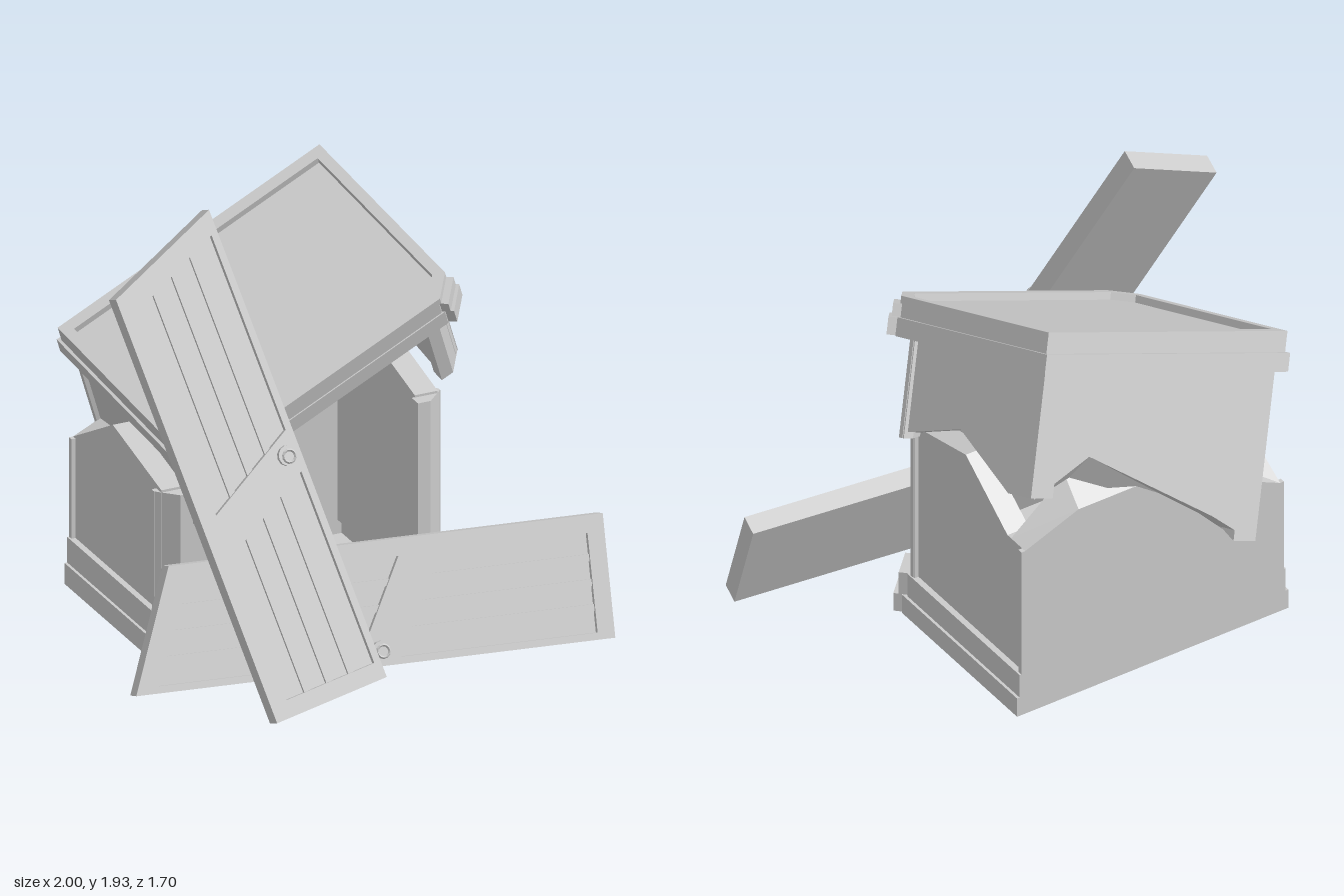
import * as THREE from 'three';

const grey = new THREE.MeshStandardMaterial({ color: 0xcccccc, flatShading: true, side: THREE.DoubleSide });

function mesh(name, geometry, parent) {
  const m = new THREE.Mesh(geometry, grey);
  m.name = name;
  parent.add(m);
  return m;
}

const toShape = (pts) => new THREE.Shape(pts.map(([x, y]) => new THREE.Vector2(x, y)));

// Extrudes an outline (with optional holes) along +z
function plate(pts, depth, z = 0, holes = []) {
  const shape = toShape(pts);
  holes.forEach((h) => shape.holes.push(toShape(h)));
  return new THREE.ExtrudeGeometry(shape, { depth, bevelEnabled: false }).translate(0, 0, z);
}

// Extrudes a plan outline of [x, z] points from y0 up to y1
function slab(pts, y0, y1, holes = []) {
  const flip = (p) => p.map(([x, z]) => [x, -z]);
  return plate(flip(pts), y1 - y0, 0, holes.map(flip)).rotateX(-Math.PI / 2).translate(0, y0, 0);
}

// Plan of a moulding: a rectangle with cut front corners
const plan = (w, back, front, cut) => [
  [-w, back], [w, back], [w, front - cut], [w - cut, front], [cut - w, front], [-w, front - cut],
];

const W = 0.62, BACK = -0.425, FRONT = 0.43, THICK = 0.1, RECESS = 0.018;
const INNER = plan(W - THICK, BACK + THICK, FRONT - 0.04, 0.03);

// Stacked moulding with canted blocks on its front corners; open tiers leave the inside hollow
function moulding(name, parent, tiers) {
  for (const { y0, y1, side, back, front, open } of tiers) {
    const outline = plan(W + side, BACK - back, FRONT + front, 0.1);
    mesh(name, slab(outline, y0, y1, open ? [INNER] : []), parent);
    for (const s of [-1, 1]) {
      const block = new THREE.BoxGeometry(0.13, y1 - y0 - 0.004, 0.06);
      block.rotateY(s * Math.PI / 4);
      block.translate(s * (W + side - 0.046), (y0 + y1) / 2, FRONT + front - 0.046);
      mesh(name + 'CornerBlock', block, parent);
    }
  }
}

// Thick walls and posts growing in direction dir from within the moulding, ending in a broken edge
function walls(parent, dir, { back, right, left, posts }) {
  const edge = (p) => [[p[0][0], dir * 0.09], ...p.map(([a, h]) => [a, dir * h]), [p[p.length - 1][0], dir * 0.09]];
  const backGeo = plate(edge(back), THICK, BACK);
  // The broken edge slants across the thickness of the wall
  const p = backGeo.attributes.position;
  for (let i = 0; i < p.count; i++) {
    const outer = p.getZ(i) < BACK + 0.01;
    if (outer === dir > 0 && Math.abs(p.getY(i)) > 0.3) p.setY(i, Math.min(p.getY(i), dir > 0 ? 0.9 : -0.6));
  }
  mesh('backWall', backGeo, parent);
  [[1, right], [-1, left]].forEach(([s, profile], i) => {
    const pts = profile.map(([c, h]) => [BACK + c, h]);
    const side = plate(edge(pts), THICK).rotateY(-Math.PI / 2);
    mesh('sidePanel', side.translate(s > 0 ? W - RECESS : RECESS + THICK - W, 0, 0), parent);
    // Narrow raised stile at the back of the side
    const h = profile[0][1] - 0.09;
    mesh('sideStile', new THREE.BoxGeometry(0.04, h, 0.022)
      .translate(s * (W - 0.02), dir * (0.09 + h / 2), BACK + 0.011), parent);
    // Canted front post with a slim bead
    const post = [[0.49, FRONT], [0.545, FRONT], [W, 0.355], [W, 0.33], [0.57, 0.33], [0.49, 0.375]];
    const [y0, y1] = dir > 0 ? [0.09, posts[i]] : [-posts[i], -0.09];
    mesh('frontPost', slab(post.map(([x, z]) => [s * x, z]), y0, y1), parent);
    mesh('postBead', new THREE.BoxGeometry(0.02, y1 - y0, 0.02)
      .translate(s * (W - 0.007), (y0 + y1) / 2, 0.345), parent);
  });
}

function lowerHalf() {
  const g = new THREE.Group();
  g.name = 'lowerCabinet';
  moulding('base', g, [
    { y0: 0, y1: 0.09, side: 0.02, back: 0, front: 0.06, open: true },
    { y0: 0.09, y1: 0.2, side: 0.008, back: 0, front: 0.04, open: true },
  ]);
  mesh('floor', slab(INNER, 0, 0.03), g);
  walls(g, 1, {
    back: [[RECESS - W, 0.63], [-0.37, 0.74], [-0.14, 0.83], [0.08, 1.02], [0.35, 1.01], [W - RECESS, 0.8]],
    right: [[0, 0.8], [0.125, 0.8], [0.42, 1.01], [0.8, 0.92]],
    left: [[0, 0.63], [0.36, 0.83], [0.8, 0.73]],
    posts: [0.91, 0.72],
  });
  g.position.set(-0.145, 0.04, -0.325);
  return g;
}

function upperHalf() {
  const g = new THREE.Group();
  g.name = 'upperCabinet';
  // Raised rim around the sunken roof
  mesh('roofRim', slab(plan(W + 0.025, BACK - 0.02, FRONT + 0.07, 0.09), -0.03, 0,
    [plan(W - 0.02, BACK + 0.03, FRONT + 0.025, 0.07)]), g);
  moulding('cornice', g, [
    { y0: -0.085, y1: -0.03, side: 0.025, back: 0.02, front: 0.07, open: false },
    { y0: -0.16, y1: -0.085, side: 0.037, back: 0.037, front: 0.075, open: true },
  ]);
  walls(g, -1, {
    back: [[RECESS - W, 0.84], [-0.37, 0.74], [0.33, 0.5], [W - RECESS, 0.67]],
    right: [[0, 0.665], [0.15, 0.67], [0.46, 0.468], [0.8, 0.54]],
    left: [[0, 0.84], [0.36, 0.65], [0.8, 0.75]],
    posts: [0.555, 0.77],
  });
  // Tipped sideways and forwards
  place(g, [0.28, 1.775, -0.645], [0.911, 0.41, -0.055], [0.16, -0.309, 0.937], true);
  g.translateX(-0.65).translateZ(0.445);
  return g;
}

// Sets a group on an origin with its x axis and a second axis (z or y)
function place(g, origin, xAxis, second, isZ) {
  const x = new THREE.Vector3(...xAxis).normalize();
  const b = new THREE.Vector3(...second);
  const z = isZ ? b : new THREE.Vector3().crossVectors(x, b);
  z.addScaledVector(x, -z.dot(x)).normalize();
  const y = new THREE.Vector3().crossVectors(z, x);
  g.quaternion.setFromRotationMatrix(new THREE.Matrix4().makeBasis(x, y, z));
  g.position.set(...origin);
}

// Door with a slanted top; m = -1 mirrors it. Front face lies on z = 0
function door(name, m) {
  const g = new THREE.Group();
  g.name = name;
  const mir = (pts) => pts.map(([x, y]) => [m * x, y]);
  const outline = mir([[0, 0], [0.493, 0], [0.493, 1.975], [0, 1.79]]);
  const s0 = 0.07, s1 = 0.465;
  const line = (t, k) => (s) => t + k * (s - s0);
  const panels = [
    [line(0.07, 0), line(0.675, 0.52)],
    [line(0.85, 0.52), line(1.716, 0.41)],
  ];
  const strip = ([lo, hi], a, b) => mir([[a, lo(a)], [b, lo(b)], [b, hi(b)], [a, hi(a)]]);
  mesh('doorFrame', plate(outline, 0.025, -0.025, panels.map((p) => strip(p, s0, s1))), g);
  mesh('doorBack', plate(outline, 0.058, -0.083), g);
  // Upright ribs between the boards
  for (const p of panels) {
    for (let i = 1; i < 4; i++) {
      const c = s0 + (s1 - s0) * i / 4;
      mesh('boardRib', plate(strip(p, c - 0.014, c + 0.014), 0.014, -0.025), g);
    }
  }
  // Round plate and ring pull
  mesh('handlePlate', new THREE.CylinderGeometry(0.042, 0.042, 0.02, 12)
    .rotateX(Math.PI / 2).translate(m * 0.433, 0.96, 0.01), g);
  mesh('handleRing', new THREE.TorusGeometry(0.025, 0.006, 4, 12)
    .translate(m * 0.433, 0.957, 0.025), g);
  return g;
}

export function createModel() {
  const model = new THREE.Group();
  model.name = 'brokenWardrobe';
  const leaning = door('leaningDoor', 1);
  place(leaning, [-0.622, 0.066, 0.84], [0.483, 0.1, -0.01], [-0.407, 1.75, -0.82], false);
  const fallen = door('fallenDoor', -1);
  place(fallen, [0.99, 0.485, 0.437], [0.03, 0.45, -0.175], [-1.96, 0.015, -0.27], false);
  model.add(lowerHalf(), upperHalf(), leaning, fallen);
  return model;
}
